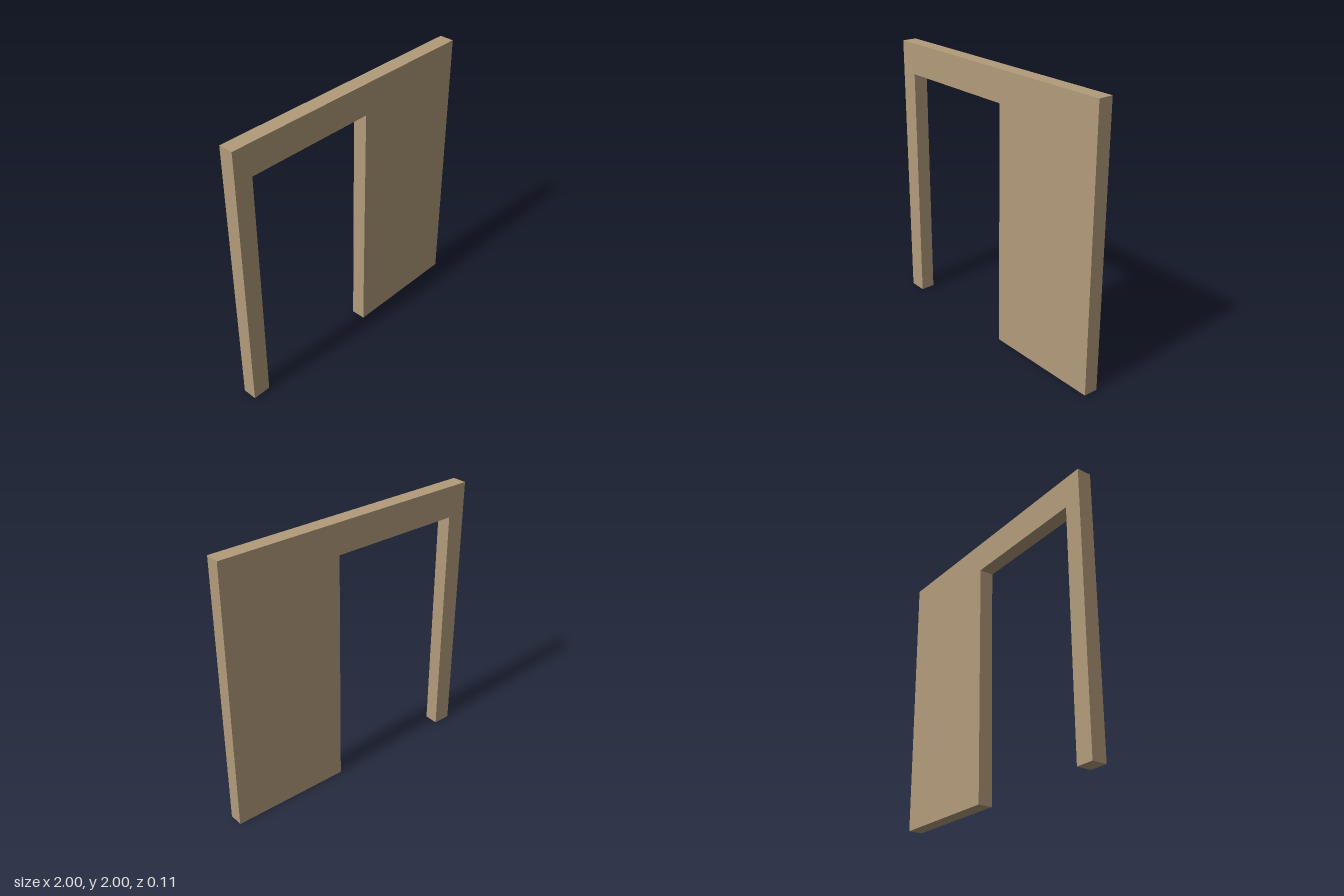
import * as THREE from 'three';

export function createModel() {
  const group = new THREE.Group();
  group.name = 'doorwayWall';

  const tan = new THREE.MeshStandardMaterial({ color: 0xb39b7a });
  tan.name = 'tan plaster';

  // Wall outline with the doorway cut out from the floor up
  const depth = 0.106;
  const doorLeft = -0.867, doorRight = 0.112, doorTop = 1.773;
  const outline = new THREE.Shape([
    [-1, 0], [doorLeft, 0], [doorLeft, doorTop], [doorRight, doorTop],
    [doorRight, 0], [1, 0], [1, 2], [-1, 2],
  ].map(([x, y]) => new THREE.Vector2(x, y)));

  // One solid slab, centred on z = 0
  const geometry = new THREE.ExtrudeGeometry(outline, { depth, bevelEnabled: false });
  geometry.translate(0, 0, -depth / 2);

  const wall = new THREE.Mesh(geometry, tan);
  wall.name = 'wall';
  group.add(wall);
  return group;
}
